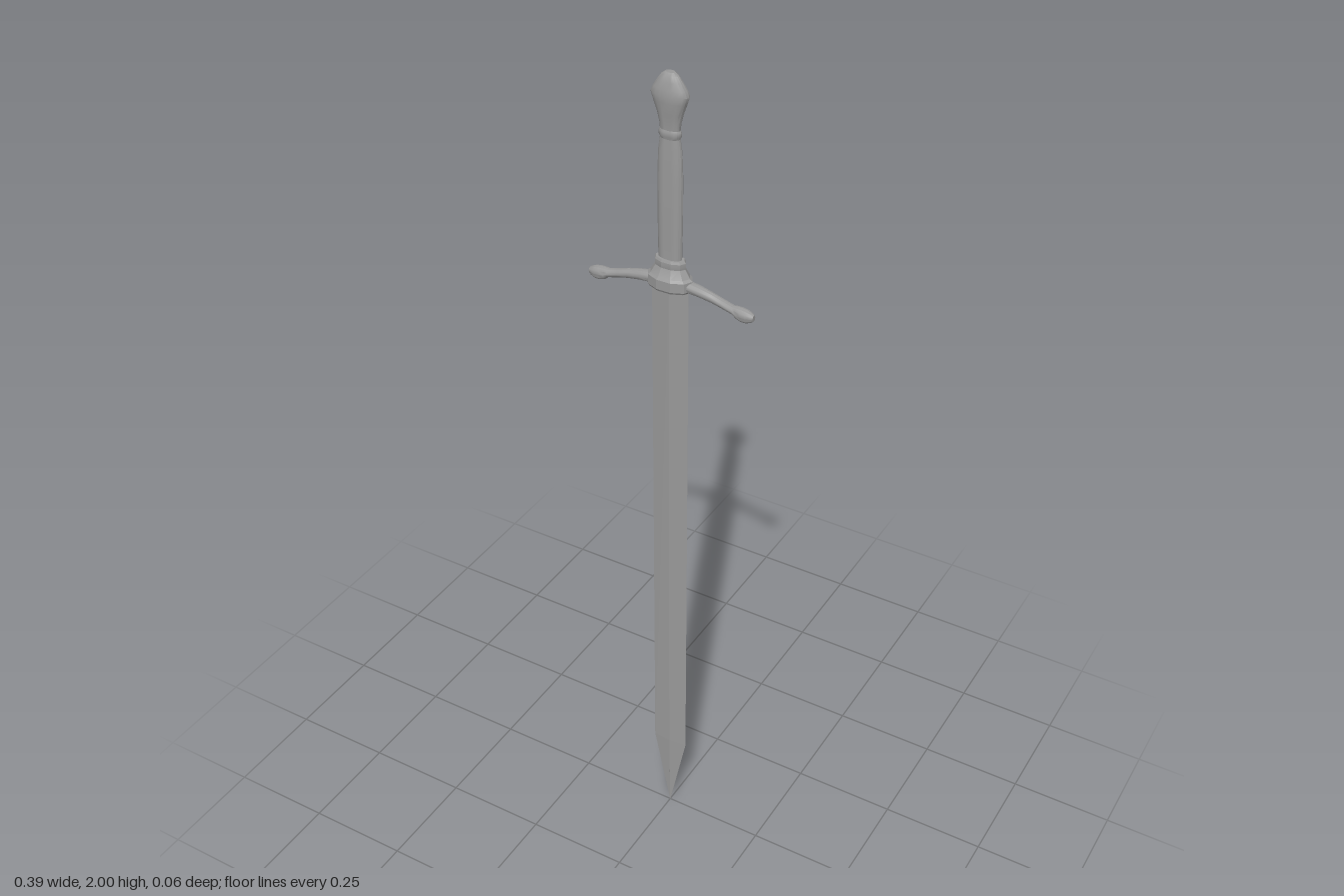
import * as THREE from 'three';
import { mergeVertices, toCreasedNormals } from 'three/addons/utils/BufferGeometryUtils.js';

// Lofts elliptical sections, top to bottom: [y, radiusX, radiusZ, offsetX]
function loft(stations, sides, crease) {
  const rows = stations.length - 1;
  let geo = new THREE.CylinderGeometry(1, 1, 1, sides, rows, false, Math.PI / 2);
  const p = geo.attributes.position;
  for (let i = 0; i < p.count; i++) {
    const row = Math.round((0.5 - p.getY(i)) * rows);
    const [y, rx, rz, dx = 0] = stations[row];
    p.setXYZ(i, p.getX(i) * rx + dx, y, p.getZ(i) * rz);
  }
  geo.deleteAttribute('normal');
  geo.deleteAttribute('uv');
  geo = mergeVertices(geo, 1e-5);
  return toCreasedNormals(geo, crease);
}

export function createModel() {
  const group = new THREE.Group();
  const material = new THREE.MeshStandardMaterial({ color: 0x999999 });
  const add = (name, geo) => {
    const mesh = new THREE.Mesh(geo, material);
    mesh.name = name;
    group.add(mesh);
  };

  // Diamond-section blade with a straight taper to the point
  add('blade', loft([
    [1.55, 0.044, 0.006], [0.215, 0.044, 0.005], [0, 0.0005, 0.0005],
  ], 4, 0.02));

  // Flattened pommel swelling out of a narrow neck
  add('pommel', loft([
    [2.0, 0.011, 0.007], [1.994, 0.019, 0.011], [1.982, 0.028, 0.015],
    [1.967, 0.038, 0.018], [1.955, 0.043, 0.02], [1.94, 0.038, 0.019],
    [1.915, 0.029, 0.016], [1.895, 0.024, 0.013], [1.875, 0.022, 0.012],
  ], 20, 0.7));

  // Ring between pommel and grip
  add('gripRing', loft([
    [1.882, 0.022, 0.012], [1.877, 0.025, 0.014], [1.868, 0.025, 0.014], [1.862, 0.022, 0.012],
  ], 20, 0.7));

  // Oval grip, slightly fuller in the middle
  add('grip', loft([
    [1.868, 0.022, 0.011], [1.835, 0.027, 0.012], [1.78, 0.029, 0.013],
    [1.7, 0.029, 0.013], [1.63, 0.028, 0.013], [1.585, 0.027, 0.013],
  ], 20, 0.7));

  // Faceted collar: upper lip, sloping shoulder and wide base
  add('collar', loft([
    [1.595, 0.034, 0.018], [1.59, 0.037, 0.02], [1.582, 0.037, 0.02],
    [1.576, 0.036, 0.019], [1.557, 0.047, 0.027], [1.552, 0.053, 0.031],
    [1.53, 0.053, 0.031], [1.525, 0.049, 0.028],
  ], 10, 0.3));

  // Drooping crossguard with bulbous ends, lofted upright then laid along x
  const half = [
    [0.197, 0.007, 0.006, -1.509], [0.192, 0.011, 0.009, -1.509],
    [0.182, 0.015, 0.012, -1.509], [0.17, 0.016, 0.013, -1.510],
    [0.158, 0.014, 0.012, -1.512], [0.15, 0.010, 0.0105, -1.515],
    [0.125, 0.010, 0.0105, -1.522], [0.1, 0.011, 0.0105, -1.529],
    [0.07, 0.012, 0.0125, -1.535], [0.045, 0.013, 0.014, -1.538],
  ];
  const mirrored = half.map(([y, ...rest]) => [-y, ...rest]).reverse();
  const guard = loft([...half, [0, 0.014, 0.014, -1.539], ...mirrored], 12, 0.7);
  guard.rotateZ(-Math.PI / 2);
  add('crossguard', guard);

  return group;
}
